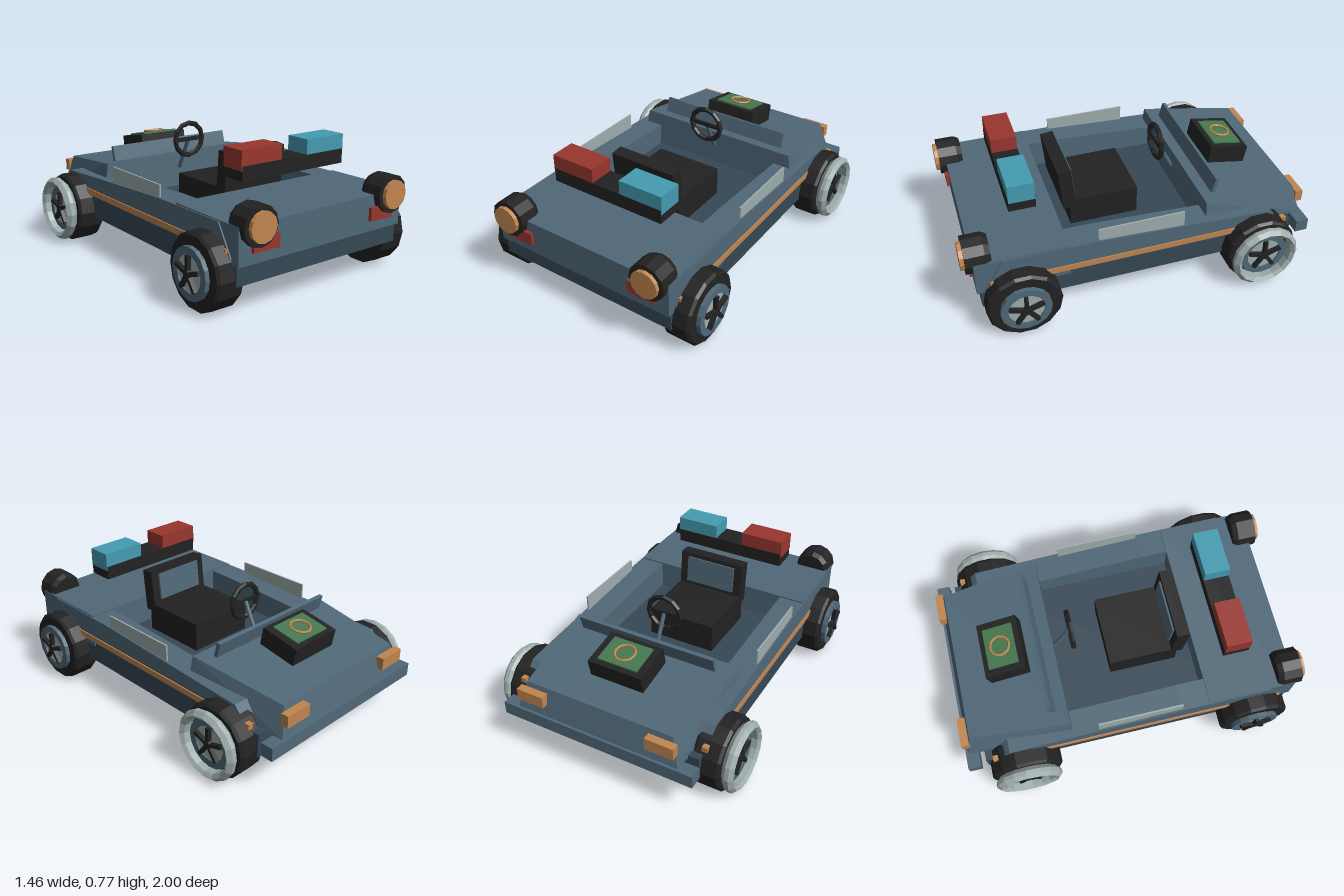
import * as THREE from 'three';
import { ConvexGeometry } from 'three/addons/geometries/ConvexGeometry.js';

const paint = (name, color) => {
  const m = new THREE.MeshStandardMaterial({ color, flatShading: true });
  m.name = name;
  return m;
};

export function createModel() {
  const car = new THREE.Group();
  car.name = 'openCar';
  const blue = paint('bodyBlue', 0x506878);
  const dark = paint('chassisBlue', 0x364856);
  const black = paint('black', 0x222222);
  const grey = paint('paleGrey', 0x9fadad);
  const orange = paint('orange', 0xc08550);
  const red = paint('red', 0x98362f);
  const cyan = paint('cyan', 0x459cb2);
  const green = paint('green', 0x467850);

  const add = (name, geo, mat, x = 0, y = 0, z = 0, parent = car) => {
    const m = new THREE.Mesh(geo, mat);
    m.name = name;
    m.position.set(x, y, z);
    parent.add(m);
    return m;
  };
  // Box given by its limits on each axis
  const box = (name, mat, [x0, x1], [y0, y1], [z0, z1]) =>
    add(name, new THREE.BoxGeometry(x1 - x0, y1 - y0, z1 - z0), mat,
      (x0 + x1) / 2, (y0 + y1) / 2, (z0 + z1) / 2);
  // The same box on both sides
  const pair = (name, mat, [x0, x1], ys, zs) => {
    box(name + 'Left', mat, [x0, x1], ys, zs);
    box(name + 'Right', mat, [-x1, -x0], ys, zs);
  };

  // Chassis tub and front deck
  box('chassis', dark, [-0.56, 0.56], [0.175, 0.31], [-0.89, 0.92]);
  box('frontDeck', blue, [-0.565, 0.565], [0.28, 0.48], [0.43, 0.94]);

  // Side bodies, extruded across x from a side profile of z, y
  const side = new THREE.Shape([
    [0.89, 0.31], [0.79, 0.475], [0.27, 0.47], [-0.74, 0.42], [-0.84, 0.31],
  ].map(p => new THREE.Vector2(...p)));
  const sideGeo = new THREE.ExtrudeGeometry(side, { depth: 0.155, bevelEnabled: false });
  sideGeo.rotateY(-Math.PI / 2);
  add('sideBodyLeft', sideGeo, blue, 0.572);
  add('sideBodyRight', sideGeo, blue, -0.417);

  // Tapered rear hood
  const hood = [];
  for (const s of [-1, 1]) {
    for (const [x, y, z] of [[0.445, 0.455, -0.945], [0.51, 0.52, -0.37],
      [0.49, 0.295, -0.985], [0.55, 0.295, -0.36]]) {
      hood.push(new THREE.Vector3(s * x, y, z));
    }
  }
  add('rearHood', new ConvexGeometry(hood), blue);
  add('dashRail', new THREE.BoxGeometry(0.84, 0.1, 0.022), blue, 0, 0.55, -0.458).rotation.x = -0.26;
  box('rearBumper', blue, [-0.58, 0.58], [0.22, 0.295], [-1, -0.925]);

  // Trim, glass and marker lamps
  pair('sideStripe', orange, [0.57, 0.579], [0.318, 0.352], [-0.55, 0.62]);
  pair('frontSideMarker', orange, [0.56, 0.582], [0.325, 0.355], [0.84, 0.865]);
  pair('rearSideMarker', orange, [0.55, 0.582], [0.325, 0.355], [-0.845, -0.815]);
  pair('sideGlass', grey, [0.552, 0.562], [0.44, 0.54], [-0.22, 0.27]);
  pair('frontMarker', red, [0.322, 0.487], [0.34, 0.415], [0.93, 0.958]);
  pair('rearLamp', orange, [0.31, 0.475], [0.36, 0.43], [-1, -0.955]);

  // Round headlamps
  const housing = new THREE.LatheGeometry([[0, 0.84], [0.09, 0.84], [0.106, 0.87],
    [0.106, 0.978], [0, 0.978]].map(p => new THREE.Vector2(...p)), 12);
  housing.rotateX(Math.PI / 2);
  const lens = new THREE.CylinderGeometry(0.08, 0.08, 0.04, 12);
  lens.rotateX(Math.PI / 2);
  for (const s of [-1, 1]) {
    add('headlampHousing', housing, black, s * 0.458, 0.475, 0);
    add('headlampLens', lens, orange, s * 0.458, 0.475, 0.98);
  }

  // Light bar
  box('lightBarBase', black, [-0.35, 0.35], [0.61, 0.69], [0.55, 0.7]);
  box('redBeacon', red, [-0.354, -0.088], [0.665, 0.772], [0.552, 0.698]);
  box('cyanBeacon', cyan, [0.088, 0.354], [0.665, 0.772], [0.552, 0.698]);

  // Seat with a leaning backrest
  box('seatCushion', black, [-0.205, 0.205], [0.3, 0.48], [-0.07, 0.33]);
  const back = add('seatBack', new THREE.BoxGeometry(0.41, 0.25, 0.075), black, 0, 0.558, 0.342);
  back.rotation.x = 0.1;
  add('seatPanel', new THREE.BoxGeometry(0.31, 0.16, 0.012), blue, 0, 0.02, -0.042, back);

  // Steering wheel and column
  add('steeringWheel', new THREE.TorusGeometry(0.1, 0.016, 6, 12), black, 0, 0.628, -0.256);
  box('steeringSpoke', black, [-0.1, 0.1], [0.616, 0.64], [-0.264, -0.25]);
  const column = add('steeringColumn', new THREE.CylinderGeometry(0.012, 0.012, 0.22, 8), blue, 0, 0.53, -0.31);
  column.rotation.x = 0.46;

  // Box on the rear hood with plate and ring
  const pod = add('hoodBox', new THREE.BoxGeometry(0.325, 0.105, 0.235), black, 0, 0.552, -0.652);
  pod.rotation.x = -0.18;
  add('hoodPlate', new THREE.BoxGeometry(0.24, 0.009, 0.175), green, 0, 0.057, 0, pod);
  add('hoodRing', new THREE.TorusGeometry(0.056, 0.007, 6, 16), orange, 0, 0.068, 0, pod).rotation.x = Math.PI / 2;

  // Wheels, turned about x; x is measured from the car's centre line
  const turned = (points, sides) => {
    const g = new THREE.LatheGeometry(points.map(p => new THREE.Vector2(...p)), sides);
    g.rotateZ(-Math.PI / 2);
    return g;
  };
  const tire = turned([[0, 0.5], [0.198, 0.5], [0.208, 0.515], [0.208, 0.645], [0.195, 0.66], [0, 0.66]], 14);
  const rim = turned([[0.14, 0.65], [0.14, 0.685], [0.1, 0.685], [0.1, 0.65]], 16);
  const disc = turned([[0.105, 0.65], [0.105, 0.677], [0, 0.677]], 16);
  const hub = turned([[0.024, 0.65], [0.024, 0.702], [0, 0.702]], 10);
  const ring = turned([[0.152, 0.66], [0.17, 0.66], [0.195, 0.685], [0.195, 0.708],
    [0.172, 0.73], [0.152, 0.715], [0.152, 0.66]], 16);
  const spoke = new THREE.BoxGeometry(0.025, 0.1, 0.02);
  spoke.translate(0.688, 0.05, 0);
  for (const [end, z] of [['front', 0.705], ['rear', -0.672]]) {
    for (const s of [1, -1]) {
      const wheel = new THREE.Group();
      wheel.name = end + (s > 0 ? 'LeftWheel' : 'RightWheel');
      wheel.position.set(0, 0.207, z);
      if (s < 0) wheel.rotation.y = Math.PI;
      car.add(wheel);
      add('tire', tire, black, 0, 0, 0, wheel);
      add('rim', rim, blue, 0, 0, 0, wheel);
      add('wheelDisc', disc, grey, 0, 0, 0, wheel);
      add('hub', hub, black, 0, 0, 0, wheel);
      for (let i = 0; i < 5; i++) {
        add('spoke', spoke, black, 0, 0, 0, wheel).rotation.x = i * Math.PI * 0.4;
      }
      if (end === 'rear') add('wheelRing', ring, grey, 0, 0, 0, wheel);
    }
  }
  return car;
}
